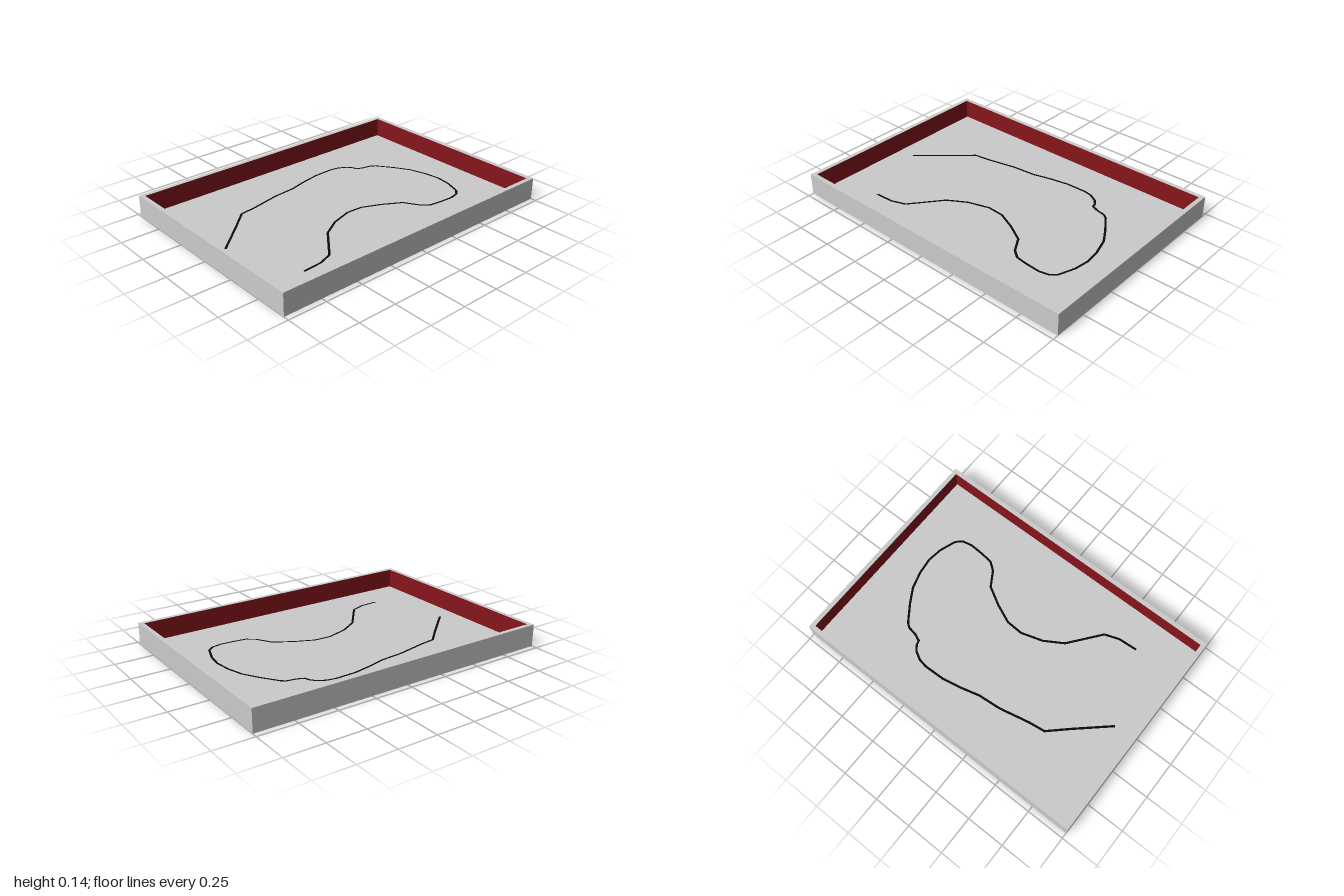
import * as THREE from 'three';

const W = 2, D = 1.428, H = 0.143;      // outer size of the tray
const WALL = 0.0286, FLOOR = 0.0143;    // wall and floor thickness

const grey = new THREE.MeshStandardMaterial({ color: 0xcccccc });
const red = new THREE.MeshStandardMaterial({ color: 0x86151c });
const black = new THREE.MeshStandardMaterial({ color: 0x0a0a0a, side: THREE.DoubleSide });

function part(name, geometry, material) {
  const mesh = new THREE.Mesh(geometry, material);
  mesh.name = name;
  return mesh;
}

function rectangle(PathType, w, d) {
  return new PathType([[-1, -1], [1, -1], [1, 1], [-1, 1]]
    .map(([x, z]) => new THREE.Vector2(x * w / 2, z * d / 2)));
}

// Flat strip with mitred joints along [x, z] points
function ribbon(points, width, y) {
  const pts = points.map(([x, z]) => new THREE.Vector2(x, z));
  const positions = [], index = [];
  pts.forEach((p, i) => {
    const before = p.clone().sub(pts[Math.max(i - 1, 0)]).normalize();
    const after = pts[Math.min(i + 1, pts.length - 1)].clone().sub(p).normalize();
    const along = before.clone().add(after).normalize();
    const reference = i ? before : after;
    const half = width / 2 / Math.max(along.dot(reference), 0.5);
    const nx = -along.y * half, nz = along.x * half;
    positions.push(p.x + nx, y, p.y + nz, p.x - nx, y, p.y - nz);
    if (i) {
      const a = 2 * i - 2;
      index.push(a, a + 2, a + 1, a + 1, a + 2, a + 3);
    }
  });
  const geometry = new THREE.BufferGeometry();
  geometry.setAttribute('position', new THREE.Float32BufferAttribute(positions, 3));
  geometry.setIndex(index);
  geometry.computeVertexNormals();
  return geometry;
}

export function createModel() {
  const model = new THREE.Group();
  model.name = 'tray';
  const innerW = W - 2 * WALL, innerD = D - 2 * WALL;

  // Floor slab inside the wall frame
  const floor = part('floor', new THREE.BoxGeometry(innerW, FLOOR, innerD), grey);
  floor.position.y = FLOOR / 2;
  model.add(floor);

  // Four walls as one rectangular frame
  const frame = rectangle(THREE.Shape, W, D);
  frame.holes.push(rectangle(THREE.Path, innerW, innerD));
  const frameGeometry = new THREE.ExtrudeGeometry(frame, { depth: H, bevelEnabled: false });
  frameGeometry.rotateX(-Math.PI / 2);
  model.add(part('walls', frameGeometry, grey));

  // Red lining on the inner wall faces
  const lining = new THREE.Group();
  lining.name = 'wallLining';
  ['back', 'left', 'front', 'right'].forEach((side, i) => {
    const alongX = i % 2 === 0;
    const panel = part(side + 'Lining',
      new THREE.PlaneGeometry(alongX ? innerW : innerD, H - FLOOR), red);
    const distance = (alongX ? innerD : innerW) / 2 - 0.001;
    const angle = -i * Math.PI / 2;
    panel.rotation.y = angle;
    panel.position.set(-Math.sin(angle) * distance, (H + FLOOR) / 2, -Math.cos(angle) * distance);
    lining.add(panel);
  });
  model.add(lining);

  // Winding black line on the floor
  const path = [
    [-0.85, -0.02], [-0.65, -0.2], [-0.533, -0.31], [-0.425, -0.325], [-0.23, -0.367],
    [-0.08, -0.38], [0.045, -0.413], [0.165, -0.436], [0.3, -0.44], [0.357, -0.43],
    [0.41, -0.4], [0.437, -0.367], [0.445, -0.337], [0.49, -0.318], [0.55, -0.307],
    [0.577, -0.286], [0.652, -0.18], [0.71, -0.083], [0.743, 0.03], [0.756, 0.136],
    [0.743, 0.233], [0.705, 0.34], [0.668, 0.374], [0.604, 0.388], [0.507, 0.382],
    [0.432, 0.372], [0.379, 0.331], [0.32, 0.233], [0.2, 0.163], [0.08, 0.11],
    [-0.03, 0.104], [-0.17, 0.147], [-0.29, 0.22], [-0.45, 0.422], [-0.543, 0.455],
    [-0.666, 0.463],
  ];
  model.add(part('floorLine', ribbon(path, 0.0143, FLOOR + 0.0015), black));

  return model;
}
